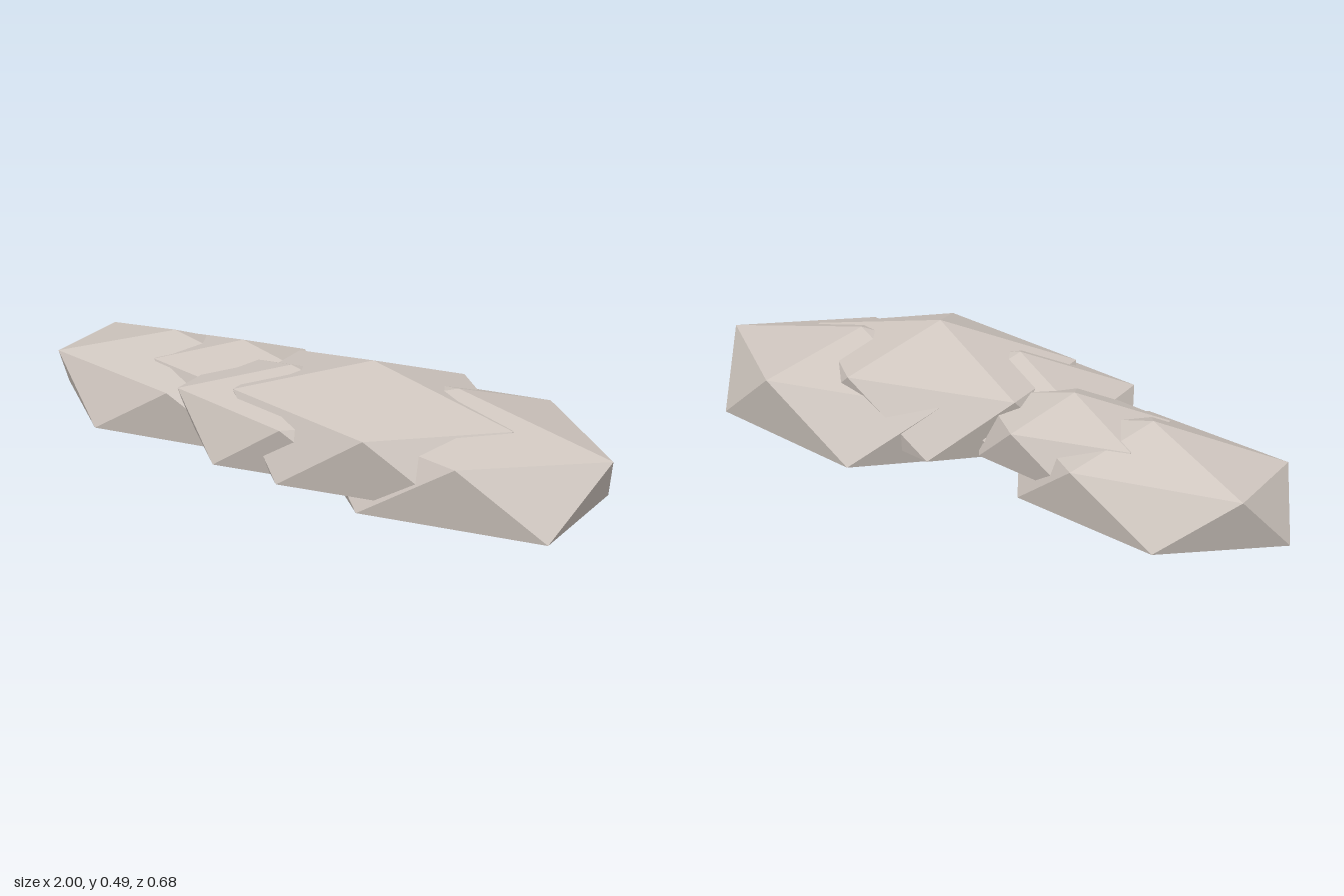
import * as THREE from 'three';

// Twelve-cornered stone with single top and bottom corners and two staggered rings of five
function stoneGeometry(upperHeight, lowerHeight, lowerSpread) {
  const points = [0, 1, 0, 0, -1, 0];
  const index = [];
  const ringRadius = 0.894;
  for (let i = 0; i < 5; i++) {
    const upper = (i * 2 * Math.PI) / 5;
    const lower = upper + Math.PI / 5;
    points.push(ringRadius * Math.cos(upper), upperHeight, ringRadius * Math.sin(upper));
    points.push(ringRadius * Math.cos(lower), -lowerHeight, ringRadius * lowerSpread * Math.sin(lower));
    const n = (i + 1) % 5;
    const u = 2 + i * 2, l = u + 1, un = 2 + n * 2, ln = un + 1;
    index.push(0, un, u, u, un, l, un, ln, l, 1, l, ln);
  }
  const geometry = new THREE.BufferGeometry();
  geometry.setAttribute('position', new THREE.Float32BufferAttribute(points, 3));
  geometry.setIndex(index);
  const flat = geometry.toNonIndexed();
  flat.computeVertexNormals();
  return flat;
}

export function createModel() {
  const group = new THREE.Group();
  group.name = 'rockRidge';
  const stone = new THREE.MeshStandardMaterial({ color: 0xcdc4bd, flatShading: true });
  stone.name = 'warm grey stone';

  // Overlapping flattened stones: name, centre, radii, [upper ring, lower ring, lower spread in z]
  const stones = [
    ['leftEndStone', [-0.55, 0.197, -0.055], [0.503, 0.188, 0.283], [0.465, 0.49, 1.06]],
    ['smallStone', [-0.285, 0.256, -0.052], [0.355, 0.154, 0.236], [0.49, 0.45, 1]],
    ['middleStone', [-0.02, 0.248, 0.077], [0.435, 0.183, 0.29], [0.48, 0.45, 1]],
    ['tallStone', [0.245, 0.27, 0.038], [0.525, 0.221, 0.347], [0.48, 0.45, 1.03]],
    ['rightEndStone', [0.497, 0.218, -0.028], [0.563, 0.218, 0.345], [0.505, 0.455, 1.07]],
  ];
  for (const [name, centre, radii, rings] of stones) {
    const geometry = stoneGeometry(...rings).scale(...radii);
    const mesh = new THREE.Mesh(geometry, stone);
    mesh.name = name;
    mesh.position.set(...centre);
    group.add(mesh);
  }
  return group;
}
